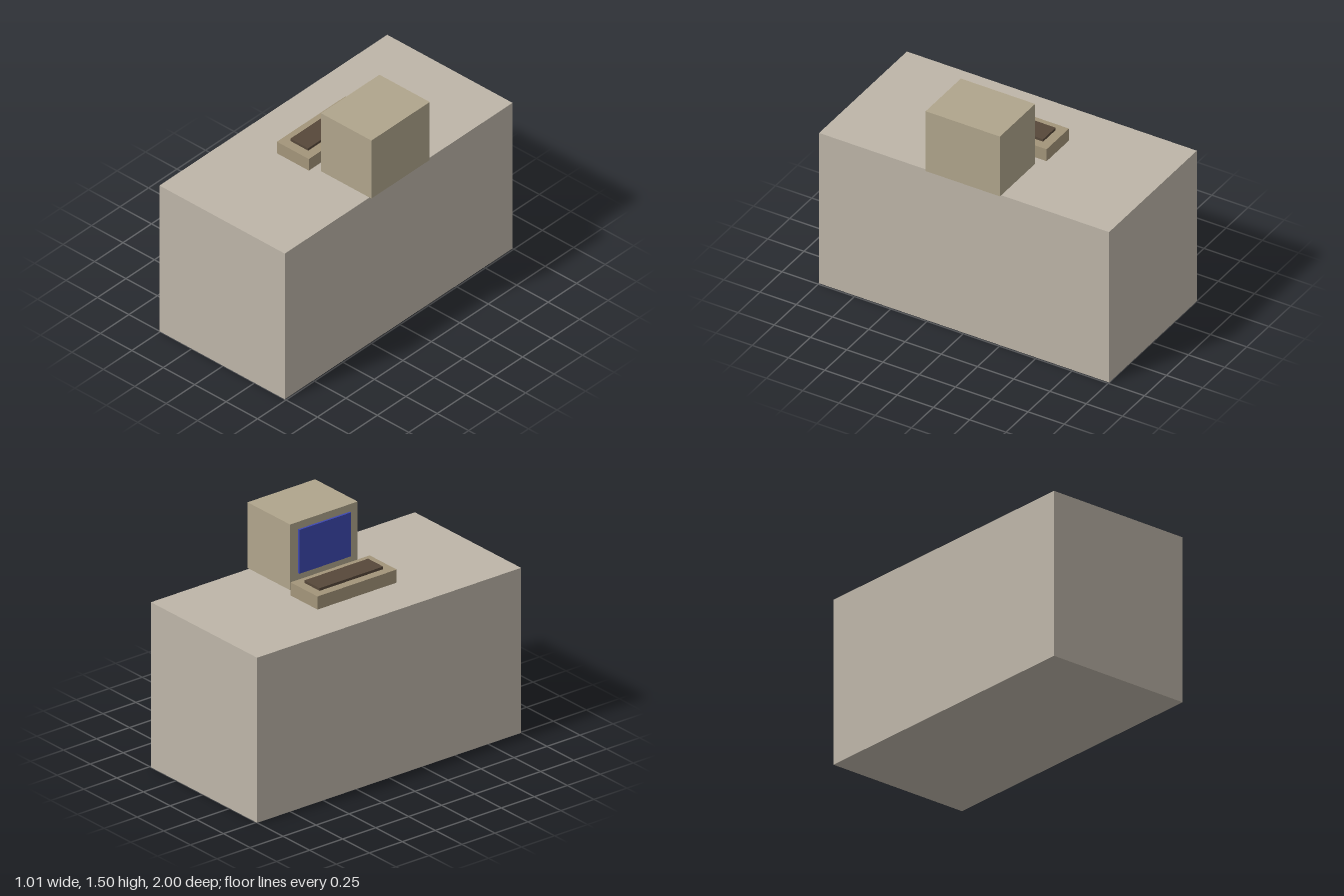
import * as THREE from 'three';

// Box given by its min/max extents in x and y, and half depth in z
function block(name, color, [x0, x1], [y0, y1], halfZ) {
  const mesh = new THREE.Mesh(
    new THREE.BoxGeometry(x1 - x0, y1 - y0, 2 * halfZ),
    new THREE.MeshStandardMaterial({ color })
  );
  mesh.name = name;
  mesh.position.set((x0 + x1) / 2, (y0 + y1) / 2, 0);
  return mesh;
}

export function createModel() {
  const model = new THREE.Group();
  model.name = 'computerDesk';
  const top = 1.073; // desk surface height

  // Solid desk
  model.add(block('desk', 0xbdb5a8, [-0.507, 0.49], [0, top], 1));

  // Monitor facing -x, with a thin raised screen
  const monitor = new THREE.Group();
  monitor.name = 'monitor';
  monitor.add(
    block('monitorCase', 0xb0a58c, [0.105, 0.505], [top, 1.5], 0.256),
    block('screen', 0x3d48b0, [0.091, 0.108], [1.167, 1.452], 0.195)
  );

  // Keyboard with a raised key area
  const keyboard = new THREE.Group();
  keyboard.name = 'keyboard';
  keyboard.add(
    block('keyboardBase', 0xa3957a, [-0.207, 0.047], [top, 1.158], 0.3),
    block('keys', 0x57483a, [-0.153, -0.011], [1.15, 1.175], 0.241)
  );

  model.add(monitor, keyboard);
  return model;
}
